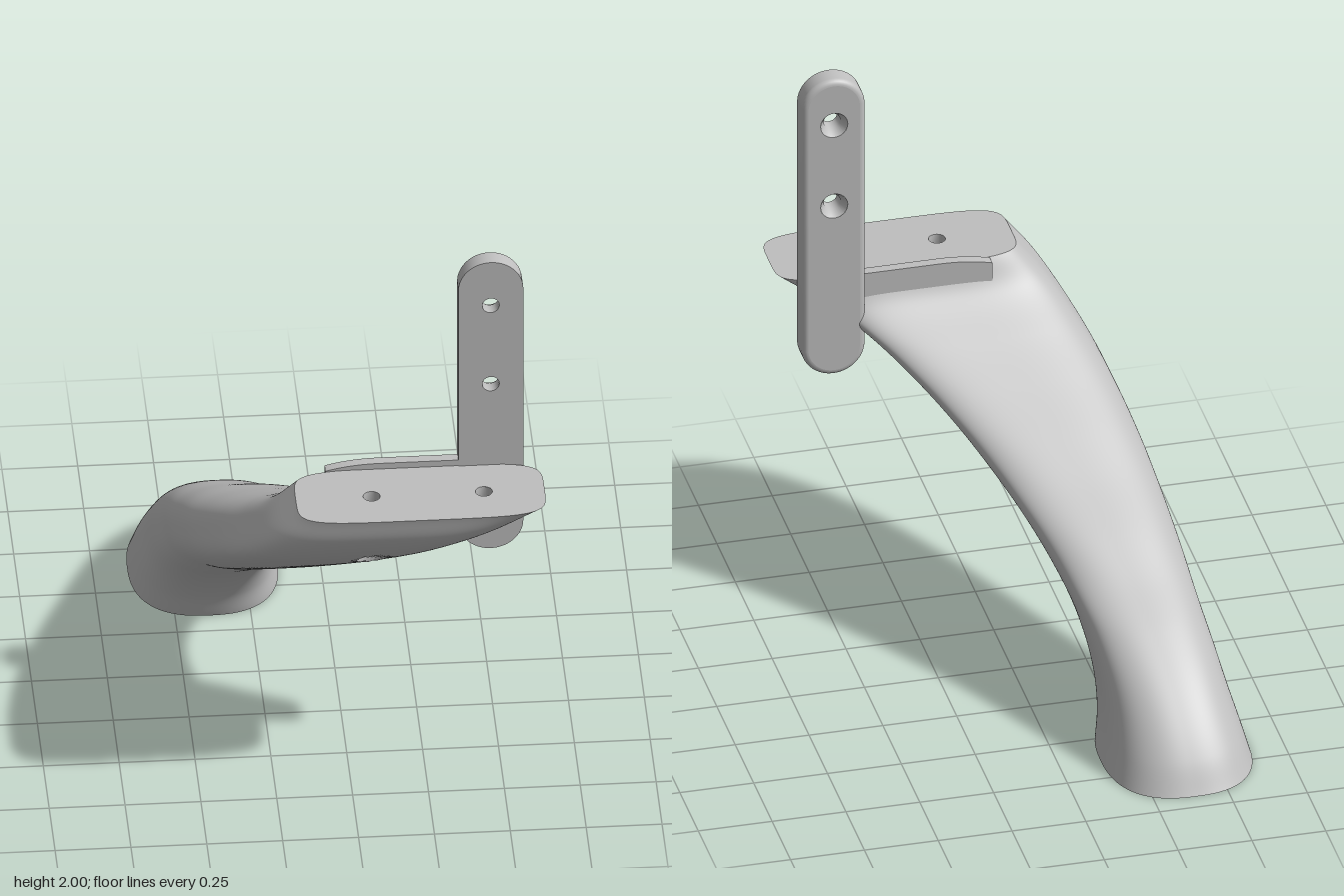
import * as THREE from 'three';

const grey = new THREE.MeshStandardMaterial({ color: 0xbfbfbf });
grey.name = 'satin grey';
const greyOpen = grey.clone();
greyOpen.side = THREE.DoubleSide;

// arm outline at every 0.1 of height: [left, right, back, front]
const ROWS = [
  [-0.635, -0.14, -0.935, -0.34], [-0.61, -0.16, -0.875, -0.30], [-0.585, -0.168, -0.79, -0.23],
  [-0.565, -0.16, -0.68, -0.13], [-0.545, -0.135, -0.54, 0], [-0.53, -0.09, -0.37, 0.135],
  [-0.51, -0.03, -0.21, 0.29], [-0.485, 0.045, -0.04, 0.44], [-0.45, 0.13, 0.12, 0.585],
  [-0.405, 0.23, 0.28, 0.72], [-0.345, 0.345, 0.43, 0.835], [-0.275, 0.48, 0.56, 0.907],
  [-0.19, 0.63, 0.62, 0.935],
];
const HEIGHT = 1.2, SEG = 200, STEPS = 160;
const curveOf = (a, b) => new THREE.CatmullRomCurve3(
  ROWS.map(r => new THREE.Vector3(r[a], r[b], 0)), false, 'catmullrom', 0.5);
const sideCurve = curveOf(0, 1), depthCurve = curveOf(2, 3);

const TOP_HOLES = [[0.06, 0.78], [0.43, 0.78]];
const BASE_HOLES = [[-0.385, -0.5], [-0.385, -0.77]];
const HOLE = 0.028, BORE = 0.05, BORE_TOP = 1.13;

// rounded-rectangle section of the arm, squarer towards the top
function section(t) {
  const s = sideCurve.getPoint(t), d = depthCurve.getPoint(t);
  const n = 2.5 + 2.5 * t ** 4;
  return Array.from({ length: SEG }, (_, j) => {
    const a = j / SEG * Math.PI * 2, c = Math.cos(a), q = Math.sin(a);
    const r = (Math.abs(c) ** n + Math.abs(q) ** n) ** (-1 / n);
    return [(s.x + s.y) / 2 + (s.y - s.x) / 2 * r * c, t * HEIGHT, (d.x + d.y) / 2 + (d.y - d.x) / 2 * r * q];
  });
}

function geometryFrom(points, index) {
  const g = new THREE.BufferGeometry();
  g.setAttribute('position', new THREE.Float32BufferAttribute(points.flat(), 3));
  if (index) g.setIndex(index);
  g.computeVertexNormals();
  return g;
}

// lofted skin with the two screw bores cut through its underside
function armGeometries() {
  const pts = [], kept = [], cut = [];
  for (let i = 0; i <= STEPS; i++) pts.push(...section(i / STEPS));
  const nearHole = tri => TOP_HOLES.find(([hx, hz]) => {
    const mean = k => tri.reduce((sum, v) => sum + pts[v][k], 0) / 3;
    return mean(1) < BORE_TOP && Math.hypot(mean(0) - hx, mean(2) - hz) < BORE;
  });
  for (let i = 0; i < STEPS; i++) for (let j = 0; j < SEG; j++) {
    const a = i * SEG + j, b = i * SEG + (j + 1) % SEG, c = a + SEG, d = b + SEG;
    for (const tri of [[a, c, b], [b, c, d]]) {
      const hole = nearHole(tri);
      if (hole) cut.push([tri, hole]); else kept.push(...tri);
    }
  }
  // snap the rim of each bore to a circle and note its edges
  const edges = new Map(), moved = new Set();
  for (const [tri, [hx, hz]] of cut) tri.forEach((v, k) => {
    const w = tri[(k + 1) % 3];
    if (!edges.delete(w + '_' + v)) edges.set(v + '_' + w, [v, w]);
    if (moved.has(v)) return;
    moved.add(v);
    const p = pts[v], f = BORE / (Math.hypot(p[0] - hx, p[2] - hz) || 1);
    p[0] = hx + (p[0] - hx) * f;
    p[2] = hz + (p[2] - hz) * f;
  });
  const wall = [];
  for (const [v, w] of edges.values()) {
    const p = pts[v], q = pts[w], p2 = [p[0], BORE_TOP, p[2]], q2 = [q[0], BORE_TOP, q[2]];
    wall.push(p, q, q2, p, q2, p2);
  }
  return [geometryFrom(pts, kept), geometryFrom(wall)];
}

function punch(shape, holes, r) {
  for (const [x, y] of holes) {
    const h = new THREE.Path();
    h.absarc(x, y, r, 0, Math.PI * 2, true);
    shape.holes.push(h);
  }
  return new THREE.ShapeGeometry(shape, 24);
}

// hollow turned surface from [radius, height] pairs
const turned = (profile, seg = 32) =>
  new THREE.LatheGeometry(profile.map(p => new THREE.Vector2(...p)), seg);

export function createModel() {
  const model = new THREE.Group();
  const add = (name, geo, mat = grey, parent = model) => {
    const m = new THREE.Mesh(geo, mat);
    m.name = name;
    parent.add(m);
    return m;
  };

  // curved arm
  const arm = new THREE.Group();
  arm.name = 'curvedArm';
  model.add(arm);
  const [skin, boreWalls] = armGeometries();
  add('armSkin', skin, grey, arm);
  add('screwBoreWalls', boreWalls, greyOpen, arm);

  // flat top pad and base, both with screw holes
  const topShape = new THREE.Shape(section(1).map(p => new THREE.Vector2(p[0], -p[2])));
  const top = punch(topShape, TOP_HOLES.map(([x, z]) => [x, -z]), HOLE);
  add('topPad', top.rotateX(-Math.PI / 2), grey, arm).position.y = HEIGHT;
  const baseShape = new THREE.Shape(section(0).map(p => new THREE.Vector2(p[0], p[2])));
  add('base', punch(baseShape, BASE_HOLES, HOLE).rotateX(Math.PI / 2), grey, arm);
  for (const [x, z] of TOP_HOLES)
    add('topScrewHole', turned([[HOLE, HEIGHT], [HOLE, BORE_TOP], [BORE, BORE_TOP]]), greyOpen, arm).position.set(x, 0, z);
  for (const [x, z] of BASE_HOLES)
    add('baseScrewHole', turned([[HOLE, 0], [HOLE, 0.12], [0, 0.12]]), greyOpen, arm).position.set(x, 0, z);

  // low lip behind the top pad
  const lip = new THREE.Shape();
  lip.moveTo(-0.08, 1.13);
  lip.lineTo(-0.08, 1.2);
  lip.quadraticCurveTo(0, 1.222, 0.1, 1.222);
  lip.lineTo(0.42, 1.222);
  lip.lineTo(0.42, 1.13);
  add('rearLip', new THREE.ExtrudeGeometry(lip, { depth: 0.035, bevelEnabled: false }), grey, arm).position.z = 0.587;

  // upright plate: a turned edge stretched into a long rounded bar
  const plate = new THREE.Group();
  plate.name = 'uprightPlate';
  plate.position.set(0.465, 0, 0);
  model.add(plate);
  const R = 0.107, LOW = 0.977, HIGH = 1.893, BACK = 0.55, FRONT = 0.625, F = 0.02;
  const profile = [];
  for (let i = 0; i <= 6; i++) {
    const a = i / 6 * Math.PI / 2;
    profile.push([R - F + F * Math.sin(a), BACK + F - F * Math.cos(a)]);
  }
  profile.push([R, FRONT]);
  const rim = turned(profile, 48).rotateX(Math.PI / 2).rotateZ(Math.PI / 48);
  const pos = rim.attributes.position;
  for (let i = 0; i < pos.count; i++) pos.setY(i, pos.getY(i) + (pos.getY(i) > 0 ? HIGH : LOW));
  add('plateEdge', rim, greyOpen, plate);

  const stadium = r => {
    const s = new THREE.Shape();
    s.absarc(0, HIGH, r, 0, Math.PI, false);
    s.absarc(0, LOW, r, Math.PI, Math.PI * 2, false);
    return s;
  };
  const plateHoles = [[0, 1.52], [0, 1.83]], SINK = 0.046;
  add('plateFront', punch(stadium(R), plateHoles, HOLE), grey, plate).position.z = FRONT;
  add('plateBack', punch(stadium(R - F), plateHoles, SINK), greyOpen, plate).position.z = BACK;
  for (const [x, y] of plateHoles) {
    const hole = turned([[SINK, BACK], [HOLE, BACK + 0.03], [HOLE, FRONT]]).rotateX(Math.PI / 2);
    add('countersunkHole', hole, greyOpen, plate).position.set(x, y, 0);
  }
  return model;
}
